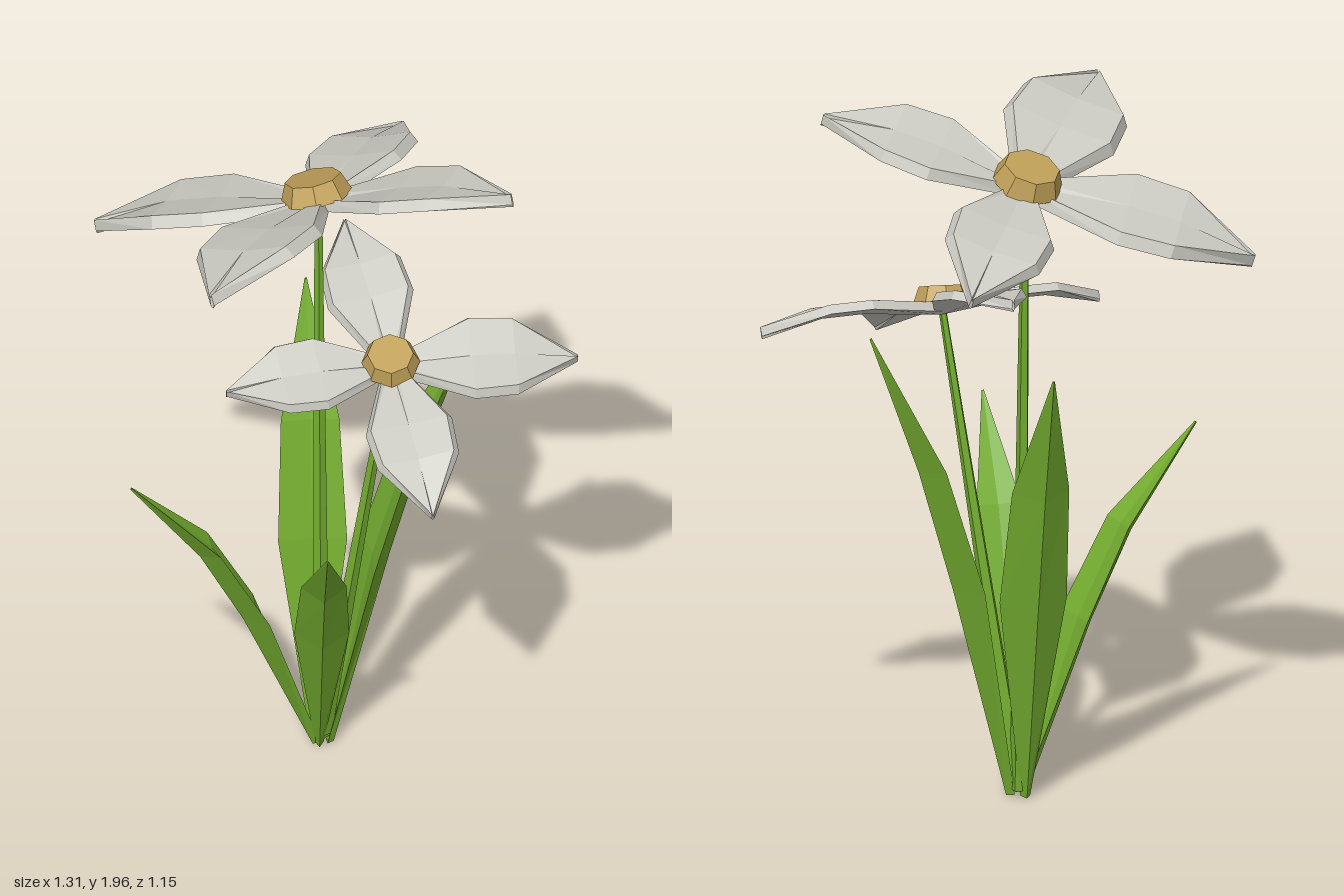
import * as THREE from 'three';

const V = (x, y, z) => new THREE.Vector3(x, y, z);
const UP = V(0, 1, 0);

const material = (name, color) => {
  const m = new THREE.MeshStandardMaterial({ color, flatShading: true });
  m.name = name;
  return m;
};

// Closed low-poly skin over a list of rings with equal point counts
function loft(rings) {
  const pos = [];
  const tri = (a, b, c) => pos.push(...a.toArray(), ...b.toArray(), ...c.toArray());
  const n = rings[0].length;
  for (let i = 0; i < rings.length - 1; i++) {
    for (let j = 0; j < n; j++) {
      const k = (j + 1) % n;
      const [a, b, c, d] = [rings[i][j], rings[i][k], rings[i + 1][k], rings[i + 1][j]];
      tri(a, b, c);
      tri(a, c, d);
    }
  }
  const first = rings[0], last = rings[rings.length - 1];
  for (let j = 1; j < n - 1; j++) {
    tri(first[0], first[j + 1], first[j]);
    tri(last[0], last[j], last[j + 1]);
  }
  const g = new THREE.BufferGeometry();
  g.setAttribute('position', new THREE.Float32BufferAttribute(pos, 3));
  g.computeVertexNormals();
  return g;
}

// Arched, bevelled petal running from the flower root to its tip
function petalGeometry(root, tip, normal) {
  const u = tip.clone().sub(root);
  const len = u.length();
  u.normalize();
  const n = normal.clone().addScaledVector(u, -normal.dot(u)).normalize();
  const v = n.clone().cross(u);
  const th = 0.05 * len;
  // distance along, half width, arch height (fractions of length)
  const sections = [[0, 0.05, 0.03], [0.43, 0.25, 0.09], [0.66, 0.235, 0.095], [1, 0.008, 0.03]];
  return loft(sections.map(([s, w, h]) => {
    const at = (x, y) => root.clone().addScaledVector(u, s * len)
      .addScaledVector(v, x * len).addScaledVector(n, h * len + y);
    const inner = Math.max(w - 0.03, w * 0.6);
    return [at(w, -th), at(inner, 0), at(0, -0.01), at(-inner, 0), at(-w, -th), at(0, -th - 0.008)];
  }));
}

// Keeled leaf bending outward; profile rows are [fraction of reach, y, half width, keel depth]
function leafGeometry(root, tip, profile) {
  const rad = V(tip.x - root.x, 0, tip.z - root.z);
  const reach = rad.length();
  rad.normalize();
  const v = rad.clone().negate().cross(UP);
  const pts = profile.map(([r, y]) => [r * reach, y * tip.y]);
  return loft(profile.map(([, , w, keel], i) => {
    const a = pts[Math.max(i - 1, 0)], b = pts[Math.min(i + 1, pts.length - 1)];
    const l = Math.hypot(b[0] - a[0], b[1] - a[1]);
    const n = rad.clone().multiplyScalar(-(b[1] - a[1]) / l).addScaledVector(UP, (b[0] - a[0]) / l);
    const at = (x, y) => V(root.x, pts[i][1], root.z).addScaledVector(rad, pts[i][0])
      .addScaledVector(v, x).addScaledVector(n, y);
    return [at(w, 0), at(0, -keel * 0.2), at(-w, 0), at(0, -keel)];
  }));
}

// Straight tapering stem
function stemGeometry(from, to) {
  const d = to.clone().sub(from);
  const g = new THREE.CylinderGeometry(0.011, 0.026, d.length(), 5);
  g.applyQuaternion(new THREE.Quaternion().setFromUnitVectors(UP, d.clone().normalize()));
  const mid = from.clone().add(to).multiplyScalar(0.5);
  return g.translate(mid.x, mid.y, mid.z);
}

export function createModel() {
  const model = new THREE.Group();
  model.name = 'floweringPlant';
  const green = material('leafGreen', 0x74ad30);
  const pale = material('petalPaleGrey', 0xcbcac2);
  const tan = material('centreTan', 0xbf9f58);

  const add = (parent, name, geometry, mat) => {
    const mesh = new THREE.Mesh(geometry, mat);
    mesh.name = name;
    parent.add(mesh);
    return mesh;
  };

  // Flowers: stem, four petals and an eight-sided centre
  const flowers = [
    {
      name: 'tallFlower', foot: V(-0.045, 0.03, 0), root: V(-0.05, 1.79, -0.06),
      normal: V(-0.21, 1, -0.33), radius: 0.1,
      tips: [V(-0.65, 1.6, -0.23), V(0.2, 1.66, -0.57), V(0.47, 1.95, 0.155), V(-0.36, 1.89, 0.505)],
    },
    {
      name: 'shortFlower', foot: V(-0.04, 0.05, 0.01), root: V(0.14, 1.385, 0.14),
      normal: V(-0.03, 1, 0.41), radius: 0.08,
      tips: [V(0.65, 1.365, 0.1), V(0.24, 1.19, 0.57), V(-0.31, 1.36, 0.22), V(0.03, 1.545, -0.3)],
    },
  ];
  for (const f of flowers) {
    const group = new THREE.Group();
    group.name = f.name;
    model.add(group);
    const normal = f.normal.normalize();
    add(group, 'stem', stemGeometry(f.foot, f.root), green);
    f.tips.forEach((tip, i) => add(group, 'petal' + (i + 1), petalGeometry(f.root, tip, normal), pale));
    const disc = add(group, 'flowerCentre',
      new THREE.CylinderGeometry(f.radius * 0.78, f.radius, f.radius * 0.55, 8), tan);
    disc.position.copy(f.root).addScaledVector(normal, f.radius * 0.48);
    disc.quaternion.setFromUnitVectors(UP, normal);
  }

  // Leaves: two short ones that spread wide, two tall upright ones
  const shortLeaf = [[0, 0.015, 0.012, 0.02], [0.31, 0.5, 0.075, 0.055], [0.56, 0.75, 0.062, 0.05], [1, 1, 0.003, 0.006]];
  const tallLeaf = [[0, 0.01, 0.014, 0.02], [0.28, 0.46, 0.094, 0.06], [0.54, 0.72, 0.08, 0.055], [1, 1, 0.003, 0.006]];
  const leaves = [
    ['rightLeaf', V(-0.05, 0, 0.01), V(-0.565, 1.0, 0.16), shortLeaf],
    ['frontLeaf', V(-0.05, 0, 0.015), V(-0.045, 1.0, 0.51), shortLeaf],
    ['leftLeaf', V(-0.03, 0, 0.01), V(0.375, 1.385, -0.055), tallLeaf],
    ['backLeaf', V(-0.06, 0, -0.01), V(-0.075, 1.33, -0.335), tallLeaf],
  ];
  for (const [name, root, tip, profile] of leaves) {
    add(model, name, leafGeometry(root, tip, profile), green);
  }
  return model;
}
